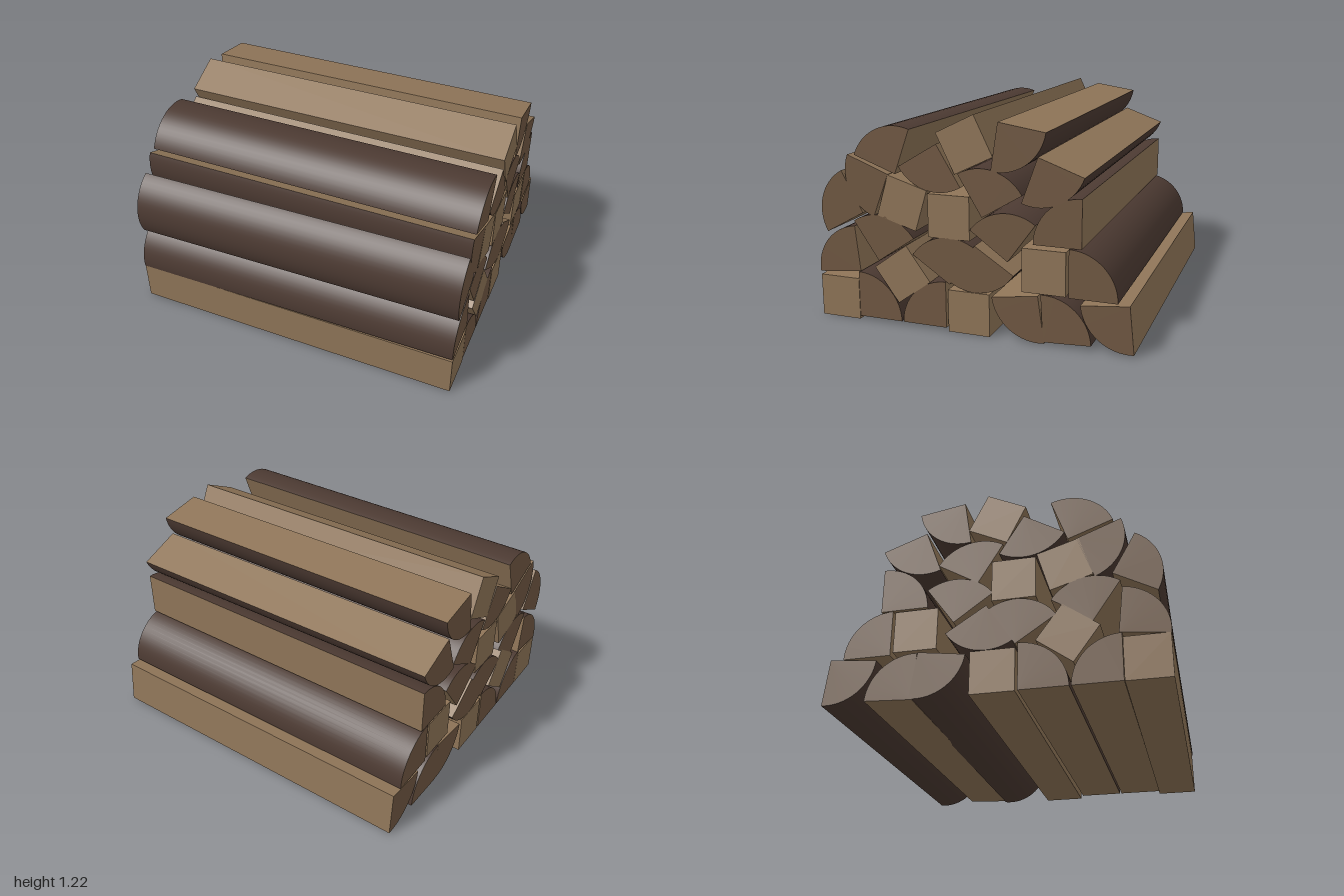
import * as THREE from 'three';

const LENGTH = 2, RADIUS = 0.265, SIDE = 0.243;
const rad = THREE.MathUtils.degToRad;

// Square beams: centre across, centre height, tilt in degrees
const BEAMS = [
  [-0.807, 0.122, 0], [-0.007, 0.122, 0], [-0.405, 0.3, 36], [0.422, 0.405, 0],
  [-0.117, 0.655, 0], [-0.395, 0.71, -17], [-0.02, 1.055, 26],
];

// Quarter logs: split corner across, height, start angle, drift of the far end
const QUARTERS = [
  [-0.683, 0.02, 0, 0, -0.017], [-0.142, 0.02, 90, 0, -0.017],
  [0.39, 0.27, 188, 0.012, 0], [0.42, 0.015, 3, 0, -0.013],
  [0.887, 0.275, 186, 0.01, 0], [-0.668, 0.29, 96, 0, -0.02],
  [-0.638, 0.635, 119, -0.01, -0.015], [-0.549, 0.365, 34, 0.01, -0.012],
  [-0.475, 0.865, 159, 0.015, -0.005], [-0.43, 0.87, 70, 0.015, -0.005],
  [-0.181, 1.05, 211, 0.01, 0], [0.077, 0.67, 31, 0.005, -0.015],
  [0.171, 1.185, 261, 0, 0], [0.39, 1.015, 250, 0, 0],
  [0.628, 0.55, 90, 0, -0.012], [0.559, 0.28, 0, 0, -0.01],
  [-0.117, 0.275, 56, -0.01, -0.01], [0.032, 0.51, 237, 0, 0],
  [0.221, 0.44, 54, -0.01, -0.012],
];

export function createModel() {
  const wood = new THREE.MeshStandardMaterial({ color: 0x8f7558 });
  const bark = new THREE.MeshStandardMaterial({ color: 0x4c3a32 });
  const grain = new THREE.MeshStandardMaterial({ color: 0x705842 });

  // Logs are laid along local z, then the pile is turned to run along x
  const pile = new THREE.Group();
  pile.name = 'logPile';
  pile.rotation.y = Math.PI / 2;

  for (const [u, y, tilt] of BEAMS) {
    const beam = new THREE.Mesh(new THREE.BoxGeometry(SIDE, SIDE, LENGTH), wood);
    beam.name = 'squareBeam';
    beam.position.set(u, y, 0);
    beam.rotation.z = rad(tilt);
    pile.add(beam);
  }

  for (const [u, y, start, du, dy] of QUARTERS) {
    const log = new THREE.Group();
    log.name = 'quarterLog';
    // Turn to the start angle and lean the far end slightly
    const place = new THREE.Matrix4().set(
      1, 0, -du / LENGTH, u + du / 2,
      0, 1, -dy / LENGTH, y + dy / 2,
      0, 0, 1, 0,
      0, 0, 0, 1,
    ).multiply(new THREE.Matrix4().makeRotationZ(rad(start)));
    const add = (name, geometry, material) => {
      const mesh = new THREE.Mesh(geometry.applyMatrix4(place), material);
      mesh.name = name;
      log.add(mesh);
    };

    // Rounded bark with the two wedge-shaped ends
    const round = new THREE.CylinderGeometry(
      RADIUS, RADIUS, LENGTH, 16, 1, false, Math.PI / 2, Math.PI / 2);
    add('barkAndEnds', round.rotateX(Math.PI / 2), [bark, grain, grain]);

    // Two split faces meeting at the corner
    const face = () => new THREE.PlaneGeometry(RADIUS, LENGTH).translate(RADIUS / 2, 0, 0);
    add('splitFace', face().rotateX(Math.PI / 2), wood);
    add('splitFace', face().rotateX(-Math.PI / 2).rotateZ(Math.PI / 2), wood);
    pile.add(log);
  }

  const model = new THREE.Group();
  model.name = 'firewoodStack';
  model.add(pile);
  return model;
}
